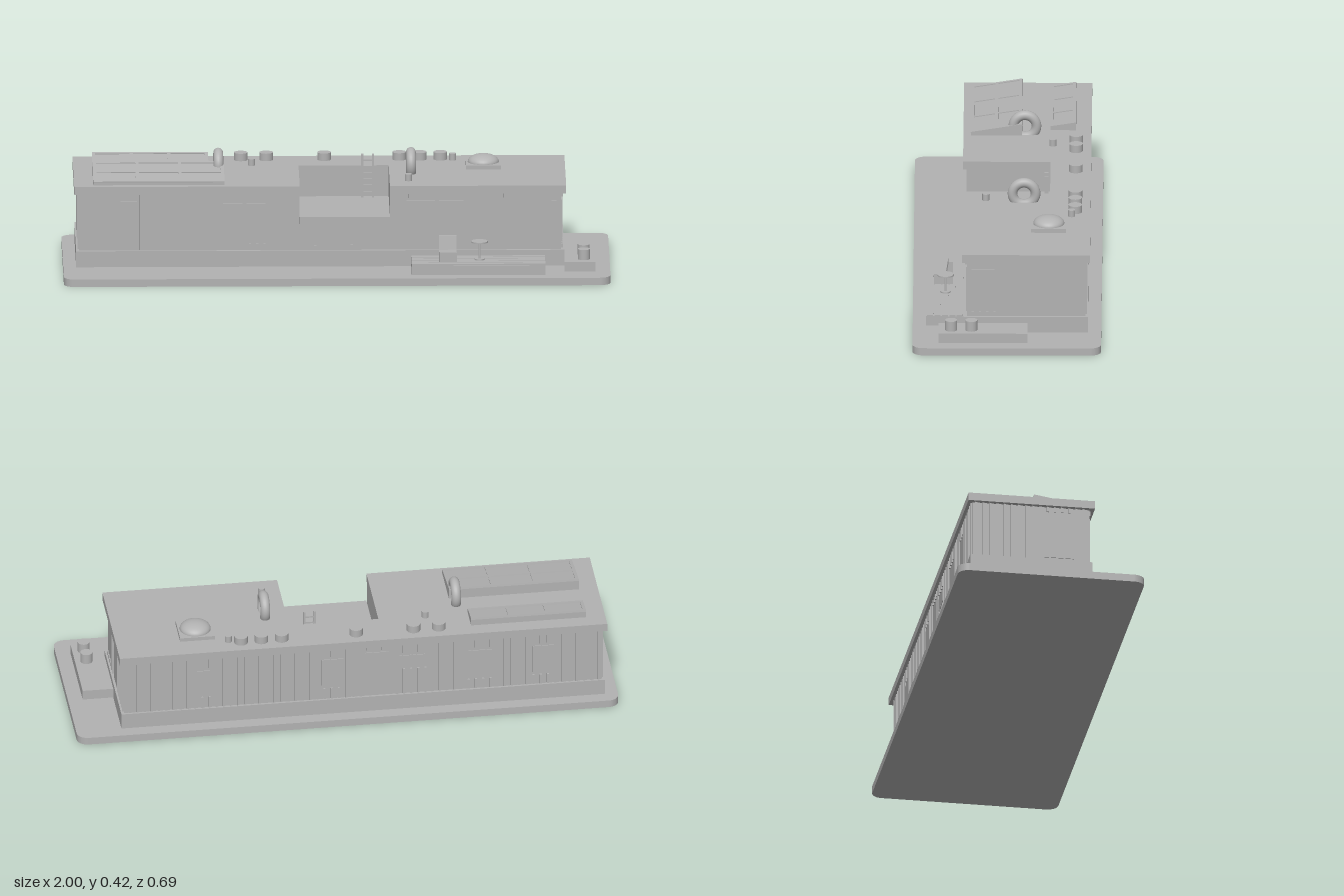
import * as THREE from 'three';

export function createModel() {
  const model = new THREE.Group();
  const grey = new THREE.MeshStandardMaterial({ color: 0xb2b2b2 });
  grey.name = 'plain grey';

  const add = (name, geometry, x = 0, y = 0, z = 0) => {
    const mesh = new THREE.Mesh(geometry, grey);
    mesh.name = name;
    mesh.position.set(x, y, z);
    model.add(mesh);
    return mesh;
  };
  // box given by its limits on each axis
  const block = (name, x0, x1, y0, y1, z0, z1) =>
    add(name, new THREE.BoxGeometry(x1 - x0, y1 - y0, z1 - z0), (x0 + x1) / 2, (y0 + y1) / 2, (z0 + z1) / 2);
  // upright cylinder standing on y0
  const post = (name, x, z, r, y0, y1) =>
    add(name, new THREE.CylinderGeometry(r, r, y1 - y0, 24), x, (y0 + y1) / 2, z);
  // horizontal slab from a plan outline of [x, z] points
  const slab = (name, shape, y0, y1) => {
    const g = new THREE.ExtrudeGeometry(shape, { depth: y1 - y0, bevelEnabled: false, curveSegments: 8 });
    g.rotateX(-Math.PI / 2);
    return add(name, g, 0, y0, 0);
  };
  const plan = (points) => new THREE.Shape(points.map(([x, z]) => new THREE.Vector2(x, -z)));

  // base plate with rounded corners
  const base = new THREE.Shape();
  const bx = 1, bz = 0.345, br = 0.04;
  base.absarc(bx - br, bz - br, br, 0, Math.PI / 2);
  base.absarc(br - bx, bz - br, br, Math.PI / 2, Math.PI);
  base.absarc(br - bx, br - bz, br, Math.PI, Math.PI * 1.5);
  base.absarc(bx - br, br - bz, br, Math.PI * 1.5, Math.PI * 2);
  slab('basePlate', base, 0, 0.028);

  // plinth, lower storey and U-shaped upper walls and roof around the terrace
  const nx0 = -0.135, nx1 = 0.195, nz = -0.155;
  const uShape = (x0, x1, z0, z1) => plan([
    [x0, z1], [nx0, z1], [nx0, nz], [nx1, nz], [nx1, z1], [x1, z1], [x1, z0], [x0, z0]]);
  block('plinth', -0.953, 0.833, 0.028, 0.088, -0.296, 0.157);
  block('lowerWalls', -0.942, 0.822, 0.088, 0.19, -0.287, 0.147);
  slab('upperWalls', uShape(-0.942, 0.822, -0.287, 0.147), 0.19, 0.302);
  slab('roof', uShape(-0.96, 0.84, -0.304, 0.165), 0.302, 0.332);
  block('terraceFloor', nx0, nx1, 0.19, 0.216, nz, 0.165);

  // openings per wall: [start, end, bottom, top]
  const walls = [
    { name: 'front', axis: 'x', face: 0.147, out: 1, from: -0.942, to: 0.822, openings: [
      [-0.93, -0.885, 0.1, 0.272], [-0.872, -0.805, 0.1, 0.272], [-0.79, -0.73, 0.1, 0.272],
      [-0.575, -0.505, 0.135, 0.255], [-0.415, -0.345, 0.125, 0.265], [-0.33, -0.26, 0.125, 0.265],
      [-0.087, -0.017, 0.118, 0.165], [-0.01, 0.06, 0.118, 0.165],
      [0.23, 0.36, 0.1, 0.272], [0.375, 0.505, 0.1, 0.272], [0.52, 0.655, 0.1, 0.272], [0.67, 0.805, 0.1, 0.272]] },
    { name: 'back', axis: 'x', face: -0.287, out: -1, from: -0.942, to: 0.822, openings: [
      [0.505, 0.555, 0.145, 0.245], [0.013, 0.094, 0.145, 0.255], [-0.154, -0.067, 0.09, 0.272],
      [-0.24, -0.195, 0.205, 0.25], [-0.29, -0.245, 0.205, 0.25],
      [-0.537, -0.45, 0.14, 0.25], [-0.765, -0.685, 0.14, 0.25]] },
    { name: 'left', axis: 'z', face: 0.822, out: 1, from: -0.287, to: 0.147, openings: [
      [0.045, 0.13, 0.116, 0.271], [-0.124, -0.035, 0.091, 0.272]] },
    { name: 'right', axis: 'z', face: -0.942, out: -1, from: -0.287, to: 0.147, openings: [
      [-0.02, 0.09, 0.1, 0.272]] },
  ];
  const pitch = 0.0266, rib = 0.004, gap = 0.011;
  for (const w of walls) {
    const plate = (name, a, b, y0, y1, depth) => {
      const d0 = Math.min(w.face, w.face + w.out * depth), d1 = d0 + depth;
      if (w.axis === 'x') block(name, a, b, y0, y1, d0, d1);
      else block(name, d0, d1, y0, y1, a, b);
    };
    for (const [a, b, y0, y1] of w.openings) plate(w.name + 'Window', a, b, y0, y1, 0.003);
    // cladding battens, broken around the openings
    for (let c = w.to - 0.022; c > w.from + 0.006; c -= pitch) {
      const underTerrace = w.name === 'front' && c > nx0 && c < nx1;
      let spans = [[0.09, underTerrace ? 0.19 : 0.302]];
      for (const [a, b, y0, y1] of w.openings) {
        if (c < a - rib || c > b + rib) continue;
        spans = spans.flatMap(([s, e]) => [[s, Math.min(e, y0 - gap)], [Math.max(s, y1 + gap), e]]);
      }
      for (const [s, e] of spans) if (e - s > 0.006) plate(w.name + 'Batten', c - rib, c + rib, s, e, 0.006);
    }
  }

  // solar arrays: sloped wedge with a raised frame grid
  const solarArray = (x0, x1, zLow, zHigh, yLow, yHigh, rows) => {
    const y = 0.332, low = yLow - y, high = yHigh - y;
    const side = new THREE.Shape([[zLow, 0], [zLow, low], [zHigh, high], [zHigh, 0]]
      .map(([z, h]) => new THREE.Vector2(-z, h)));
    const g = new THREE.ExtrudeGeometry(side, { depth: x1 - x0, bevelEnabled: false });
    g.rotateY(Math.PI / 2);
    add('solarPanel', g, x0, y - 0.003, 0);
    const run = zLow - zHigh, angle = Math.atan2(yHigh - yLow, run), length = Math.hypot(run, yHigh - yLow);
    const frame = new THREE.Group();
    frame.name = 'solarFrame';
    frame.position.set((x0 + x1) / 2, (yLow + yHigh) / 2 - 0.003, (zLow + zHigh) / 2);
    frame.rotation.x = angle;
    const bar = (w, d, x, z) => {
      const m = new THREE.Mesh(new THREE.BoxGeometry(w, 0.007, d), grey);
      m.name = 'solarFrameBar';
      m.position.set(x, 0, z);
      frame.add(m);
    };
    const t = 0.012, width = x1 - x0;
    for (let i = 0; i <= 3; i++) bar(t, length, -width / 2 + t / 2 + (i * (width - t)) / 3, 0);
    for (let j = 0; j <= rows; j++) bar(width, t, 0, -length / 2 + t / 2 + (j * (length - t)) / rows);
    model.add(frame);
  };
  solarArray(-0.89, -0.41, 0.138, -0.05, 0.345, 0.375, 2);
  solarArray(-0.89, -0.465, -0.153, -0.247, 0.347, 0.362, 1);

  // upright roof rings
  for (const x of [-0.43, 0.275]) {
    add('roofRing', new THREE.TorusGeometry(0.042, 0.018, 20, 40), x, 0.362, -0.06).rotation.y = Math.PI / 2;
  }

  // domed skylight
  block('skylightCurb', 0.477, 0.605, 0.332, 0.346, -0.215, -0.087);
  add('skylightDome', new THREE.SphereGeometry(0.057, 32, 12, 0, Math.PI * 2, 0, Math.PI / 2), 0.541, 0.346, -0.152)
    .scale.y = 0.51;

  // roof vents
  for (const x of [-0.345, -0.252, -0.04, 0.235, 0.31, 0.385]) post('roofVent', x, -0.248, 0.025, 0.332, 0.36);
  for (const [x, z] of [[0.43, -0.235], [-0.307, -0.163], [0.264, 0.08]]) post('smallVent', x, z, 0.013, 0.332, 0.357);

  // terrace ladder
  for (const x of [0.098, 0.137]) block('ladderRail', x - 0.004, x + 0.004, 0.216, 0.378, -0.148, -0.134);
  for (let i = 0; i < 6; i++) {
    const y = 0.232 + i * 0.024;
    block('ladderRung', 0.098, 0.137, y, y + 0.006, -0.145, -0.137);
  }

  // front deck with planks
  block('deck', 0.273, 0.762, 0.028, 0.064, 0.157, 0.296);
  for (let i = 0; i < 5; i++) {
    const z = 0.162 + i * 0.027;
    block('deckPlank', 0.273, 0.762, 0.064, 0.069, z, z + 0.022);
  }

  // deck chair
  block('chairSeat', 0.374, 0.438, 0.067, 0.107, 0.229, 0.269);
  const back = new THREE.Shape([[0.229, 0.067], [0.215, 0.155], [0.2, 0.155], [0.2, 0.067]]
    .map(([z, y]) => new THREE.Vector2(-z, y)));
  const backGeometry = new THREE.ExtrudeGeometry(back, { depth: 0.064, bevelEnabled: false });
  backGeometry.rotateY(Math.PI / 2);
  add('chairBack', backGeometry, 0.374, 0, 0);

  // round table
  post('tableFoot', 0.522, 0.226, 0.018, 0.069, 0.074);
  post('tablePole', 0.522, 0.226, 0.004, 0.074, 0.135);
  post('tableTop', 0.522, 0.226, 0.03, 0.134, 0.139);

  // side step with planters
  block('sideStep', 0.833, 0.946, 0.028, 0.065, -0.076, 0.25);
  for (const z of [0.13, 0.204]) post('planter', 0.904, z, 0.022, 0.065, 0.103);

  return model;
}
